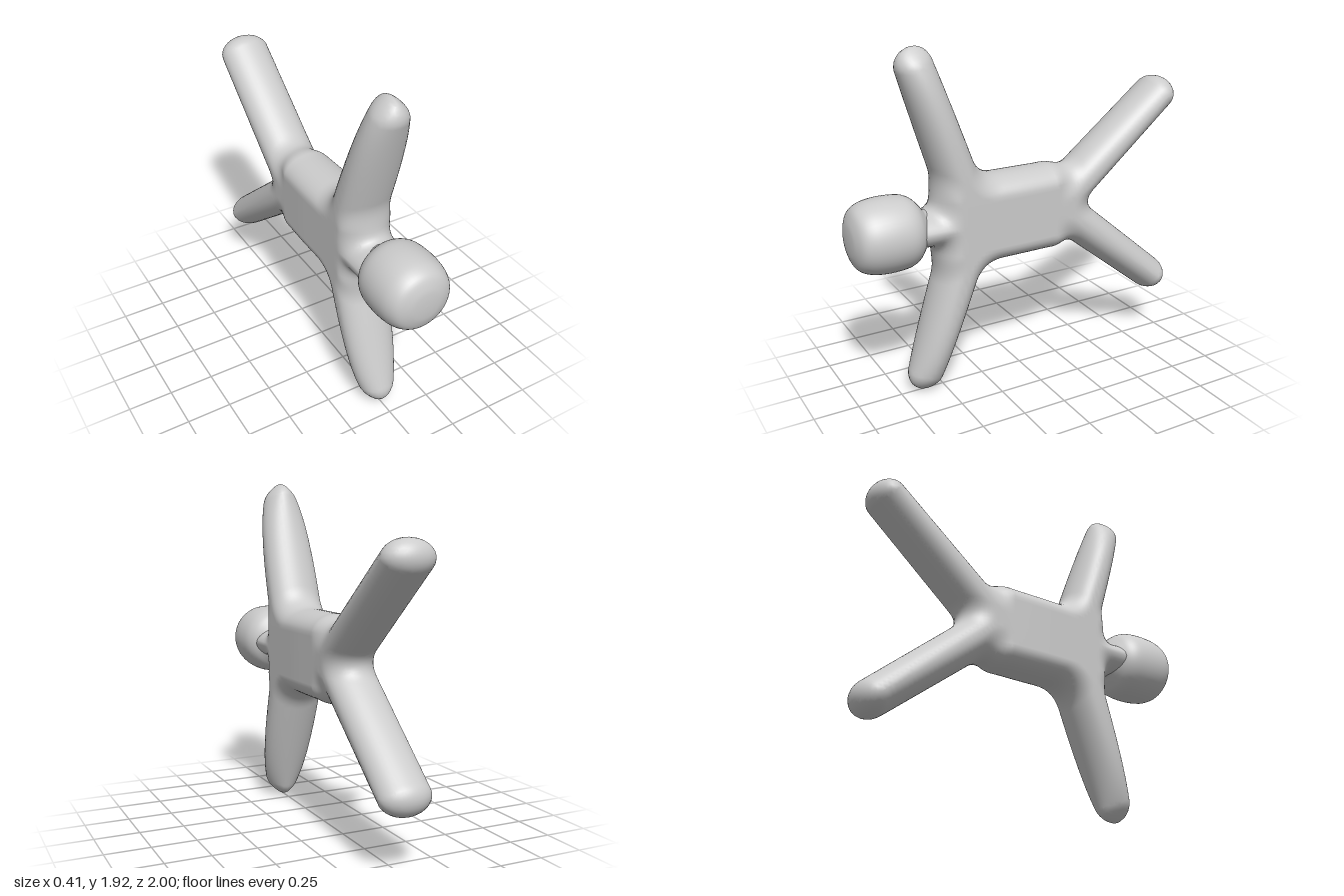
import * as THREE from 'three';

const MID = 0.96; // height of the body's axis
const mat = new THREE.MeshStandardMaterial({ color: 0xcccccc });

// Tapered capsule distance in the side plane (z, v), radius ra at a to rb at b
function limb(z, v, [az, av, ra], [bz, bv, rb]) {
  const dz = bz - az, dv = bv - av;
  const t = THREE.MathUtils.clamp(((z - az) * dz + (v - av) * dv) / (dz * dz + dv * dv), 0, 1);
  return Math.hypot(z - az - dz * t, v - av - dv * t) - (ra + (rb - ra) * t);
}

function blend(a, b, k) {
  const h = Math.max(k - Math.abs(a - b), 0) / k;
  return Math.min(a, b) - h * h * k * 0.25;
}

// Side outline: torso, neck, and mirrored arms and legs, melted together
function outline(z, v) {
  const qz = Math.abs(z - 0.12) - 0.28, qv = Math.abs(v) - 0.145;
  let d = Math.hypot(Math.max(qz, 0), Math.max(qv, 0)) + Math.min(Math.max(qz, qv), 0) - 0.1;
  d = blend(d, limb(z, v, [0.3, 0, 0.095], [0.7, 0, 0.095]), 0.1);
  let legs = 1;
  for (const s of [1, -1]) {
    d = blend(d, limb(z, s * v, [0.34, 0.1, 0.12], [0.6, 0.86, 0.1]), 0.12);
    legs = blend(legs, limb(z, s * v, [-0.26, 0.04, 0.112], [-0.9, 0.565, 0.098]), 0.12);
  }
  return blend(d, legs, 0.14);
}

// Rounded thickness across x, thinning towards the hands
function field(x, y, z) {
  const v = y - MID, r = 0.105;
  const front = THREE.MathUtils.smoothstep(z, -0.3, 0.1);
  const taper = Math.sqrt(Math.max(1 - front * (v / 0.98) ** 4, 0.04));
  const thick = (0.145 + 0.01 * front) * taper;
  return Math.hypot(Math.max(outline(z, v) + r, 0) / r, x / thick) - 1;
}

function gradient(p) {
  const e = 0.003;
  return new THREE.Vector3(
    field(p.x + e, p.y, p.z) - field(p.x - e, p.y, p.z),
    field(p.x, p.y + e, p.z) - field(p.x, p.y - e, p.z),
    field(p.x, p.y, p.z + e) - field(p.x, p.y, p.z - e)
  ).divideScalar(2 * e);
}

// Skins the field with a quad mesh on a regular grid
function skin(min, size, step) {
  const n = size.map((s) => Math.ceil(s / step) + 1);
  const id = (i, j, k) => (i * n[1] + j) * n[2] + k;
  const at = (c) => c.map((q, a) => min[a] + q * step);
  const values = new Float32Array(n[0] * n[1] * n[2]);
  const each = (lo, cut, fn) => {
    for (let i = lo; i < n[0] - cut; i++)
      for (let j = lo; j < n[1] - cut; j++)
        for (let k = lo; k < n[2] - cut; k++) fn([i, j, k]);
  };
  each(0, 0, (c) => { values[id(...c)] = field(...at(c)); });

  // One vertex per crossed cell, pulled onto the surface
  const vertex = new Map(), pos = [], nor = [], index = [];
  each(0, 1, (c) => {
    const p = new THREE.Vector3();
    let count = 0;
    for (let m = 0; m < 8; m++) {
      const a = c.map((q, ax) => q + ((m >> ax) & 1));
      for (let ax = 0; ax < 3; ax++) {
        if ((m >> ax) & 1) continue;
        const b = a.slice();
        b[ax]++;
        const fa = values[id(...a)], fb = values[id(...b)];
        if (fa < 0 === fb < 0) continue;
        const w = a.slice();
        w[ax] += fa / (fa - fb);
        p.add(new THREE.Vector3(...at(w)));
        count++;
      }
    }
    if (!count) return;
    p.divideScalar(count);
    for (let s = 0; s < 3; s++) {
      const g = gradient(p);
      const move = g.multiplyScalar(-field(p.x, p.y, p.z) / Math.max(g.lengthSq(), 1e-6));
      p.add(move.clampLength(0, step * 0.4));
    }
    vertex.set(id(...c), pos.length / 3);
    pos.push(p.x, p.y, p.z);
    nor.push(...gradient(p).normalize().toArray());
  });

  // One quad per crossed grid edge
  each(1, 1, (c) => {
    const inside = values[id(...c)] < 0;
    for (let ax = 0; ax < 3; ax++) {
      const end = c.slice();
      end[ax]++;
      if (inside === values[id(...end)] < 0) continue;
      const q = [[0, 0], [1, 0], [1, 1], [0, 1]].map(([b, d]) => {
        const cell = c.slice();
        cell[(ax + 1) % 3] -= b;
        cell[(ax + 2) % 3] -= d;
        return vertex.get(id(...cell));
      });
      if (!inside) q.reverse();
      index.push(q[0], q[1], q[2], q[0], q[2], q[3]);
    }
  });

  const geo = new THREE.BufferGeometry();
  geo.setAttribute('position', new THREE.Float32BufferAttribute(pos, 3));
  geo.setAttribute('normal', new THREE.Float32BufferAttribute(nor, 3));
  geo.setIndex(index);
  return geo;
}

export function createModel() {
  const group = new THREE.Group();

  // Torso with neck, arms and legs
  const body = new THREE.Mesh(skin([-0.209, -0.045, -1.05], [0.418, 2.02, 1.85], 0.022), mat);
  body.name = 'body';
  group.add(body);

  // Squarish round head, flaring out of the neck
  const profile = new THREE.SplineCurve([
    [0.09, 0.56], [0.105, 0.59], [0.135, 0.615], [0.172, 0.65], [0.195, 0.7], [0.203, 0.78],
    [0.199, 0.86], [0.185, 0.92], [0.155, 0.965], [0.1, 0.99], [0.05, 0.998], [0, 1],
  ].map(([r, z]) => new THREE.Vector2(r, z)));
  const points = profile.getPoints(48);
  points[48].x = 0;
  const head = new THREE.Mesh(new THREE.LatheGeometry(points, 48).rotateX(Math.PI / 2), mat);
  head.name = 'head';
  head.position.y = MID + 0.005;
  group.add(head);

  return group;
}
